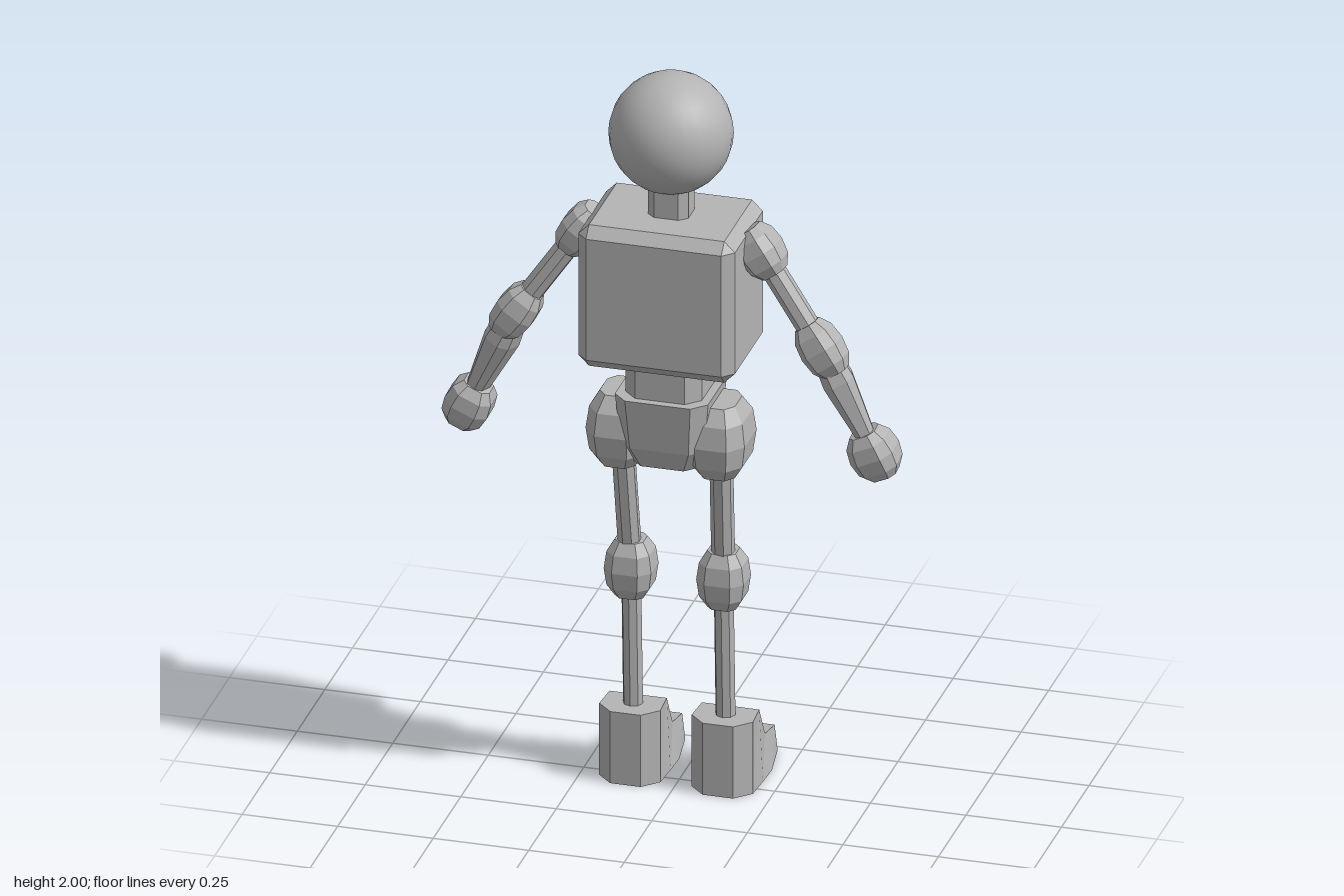
import * as THREE from 'three';
import { ConvexGeometry } from 'three/addons/geometries/ConvexGeometry.js';

const grey = new THREE.MeshStandardMaterial({ color: 0xb4b4b4 });
grey.name = 'plain grey';
const V = (x, y, z) => new THREE.Vector3(x, y, z);

function add(parent, name, geometry, position) {
  const mesh = new THREE.Mesh(geometry, grey);
  mesh.name = name;
  if (position) mesh.position.copy(position);
  parent.add(mesh);
  return mesh;
}

// faceted solid: stacked square rings with cut corners, each [y, half width, half depth]
function faceted(rings, cut) {
  const points = [];
  for (const [y, w, d] of rings)
    for (const sx of [-1, 1]) for (const sz of [-1, 1])
      points.push(V(sx * w, y, sz * d * cut), V(sx * w * cut, y, sz * d));
  return new ConvexGeometry(points);
}

const knob = (w, h, d) => faceted([[-h, w * 0.6, d * 0.6], [-h * 0.6, w * 0.9, d * 0.9], [0, w, d],
  [h * 0.6, w * 0.9, d * 0.9], [h, w * 0.6, d * 0.6]], 0.55);

// box with every edge chamfered
function chamferBox(w, h, d, c) {
  const points = [];
  for (const x of [-1, 1]) for (const y of [-1, 1]) for (const z of [-1, 1])
    points.push(V(x * w, y * (h - c), z * (d - c)), V(x * (w - c), y * h, z * (d - c)),
      V(x * (w - c), y * (h - c), z * d));
  return new ConvexGeometry(points);
}

// turn a mesh so its +y axis runs from a to b
function aim(mesh, a, b) {
  mesh.quaternion.setFromUnitVectors(V(0, 1, 0), b.clone().sub(a).normalize());
}

function bone(parent, name, a, b, r) {
  const geometry = new THREE.CylinderGeometry(r, r, a.distanceTo(b), 8).toNonIndexed();
  geometry.computeVertexNormals();
  aim(add(parent, name, geometry, a.clone().lerp(b, 0.5)), a, b);
}

// foot lofted from heel to toe: [z, sole half width, top half width, height]
function footGeometry() {
  const stations = [[0.07, 0.04, 0.04, 0.2], [0.03, 0.08, 0.08, 0.2], [-0.045, 0.085, 0.075, 0.2],
    [-0.115, 0.088, 0.07, 0.1], [-0.23, 0.07, 0.062, 0.07]];
  const rows = stations.map(([z, w, t, h]) => [V(-w, 0, z), V(w, 0, z), V(t, h, z), V(-t, h, z)]);
  const points = [];
  const quad = (a, b, c, d) => points.push(a, b, c, a, c, d);
  quad(...rows[0]);
  for (let i = 0; i < rows.length - 1; i++)
    for (let j = 0; j < 4; j++) {
      const k = (j + 1) % 4;
      quad(rows[i][j], rows[i + 1][j], rows[i + 1][k], rows[i][k]);
    }
  quad(...rows[rows.length - 1].slice().reverse());
  const geometry = new THREE.BufferGeometry().setFromPoints(points);
  geometry.computeVertexNormals();
  return geometry;
}

function buildArm(parent, s) {
  const arm = new THREE.Group();
  arm.name = s > 0 ? 'leftArm' : 'rightArm';
  parent.add(arm);
  const shoulder = V(s * 0.235, 1.54, 0.07);
  const elbow = V(s * 0.4, 1.3, 0.093);
  const hand = V(s * 0.53, 1.015, 0.067);
  aim(add(arm, 'shoulder', knob(0.052, 0.066, 0.06), shoulder), elbow, shoulder);
  bone(arm, 'upperArm', shoulder, elbow, 0.031);
  aim(add(arm, 'elbow', knob(0.052, 0.072, 0.052), elbow), elbow, shoulder);
  const length = elbow.distanceTo(hand);
  const forearm = faceted([[0, 0.032, 0.034], [length * 0.3, 0.041, 0.046], [length * 0.8, 0.025, 0.034]], 0.5);
  aim(add(arm, 'forearm', forearm, elbow), elbow, hand);
  aim(add(arm, 'hand', knob(0.06, 0.064, 0.06), hand), hand, elbow);
}

function buildLeg(parent, s) {
  const leg = new THREE.Group();
  leg.name = s > 0 ? 'leftLeg' : 'rightLeg';
  parent.add(leg);
  const hip = V(s * 0.13, 1.015, 0.075);
  const knee = V(s * 0.121, 0.59, 0.018);
  const ankle = V(s * 0.121, 0.19, 0);
  add(leg, 'hip', knob(0.078, 0.1, 0.1), hip);
  bone(leg, 'thigh', hip, knee, 0.03);
  add(leg, 'knee', knob(0.062, 0.078, 0.062), knee);
  bone(leg, 'shin', knee, ankle, 0.026);
  add(leg, 'foot', footGeometry(), V(s * 0.121, 0, 0));
}

function buildHead(parent) {
  const head = new THREE.Group();
  head.name = 'head';
  head.position.set(0, 1.842, 0.075);
  parent.add(head);
  const r = 0.158;
  add(head, 'skull', new THREE.SphereGeometry(r, 24, 16));
  for (const s of [-1, 1]) {
    const eye = add(head, 'eye', new THREE.SphereGeometry(1, 16, 12), V(s * 0.068, -0.007, -0.135));
    eye.scale.set(0.027, 0.052, 0.024);
  }
  // smile following the curve of the face
  const smile = [];
  for (let i = -2; i <= 2; i++)
    smile.push(V(i * 0.018, -0.085 + i * i * 0.003, -1).setZ(0));
  smile.forEach(p => p.setZ(-Math.sqrt(r * r - p.x * p.x - p.y * p.y)));
  add(head, 'mouth', new THREE.TubeGeometry(new THREE.CatmullRomCurve3(smile), 12, 0.004, 6));
}

export function createModel() {
  const model = new THREE.Group();
  model.name = 'figure';
  buildHead(model);
  add(model, 'neck', faceted([[1.6, 0.053, 0.046], [1.71, 0.053, 0.046]], 0.6), V(0, 0, 0.075));
  add(model, 'torso', chamferBox(0.205, 0.197, 0.154, 0.028), V(0, 1.424, 0.08));
  add(model, 'waist', faceted([[1.1, 0.1, 0.1], [1.24, 0.1, 0.1]], 0.65), V(0, 0, 0.077));
  add(model, 'pelvis', faceted([[0.94, 0.08, 0.08], [1.0, 0.11, 0.108], [1.137, 0.122, 0.122]], 0.7), V(0, 0, 0.077));
  for (const s of [1, -1]) {
    buildArm(model, s);
    buildLeg(model, s);
  }
  return model;
}
